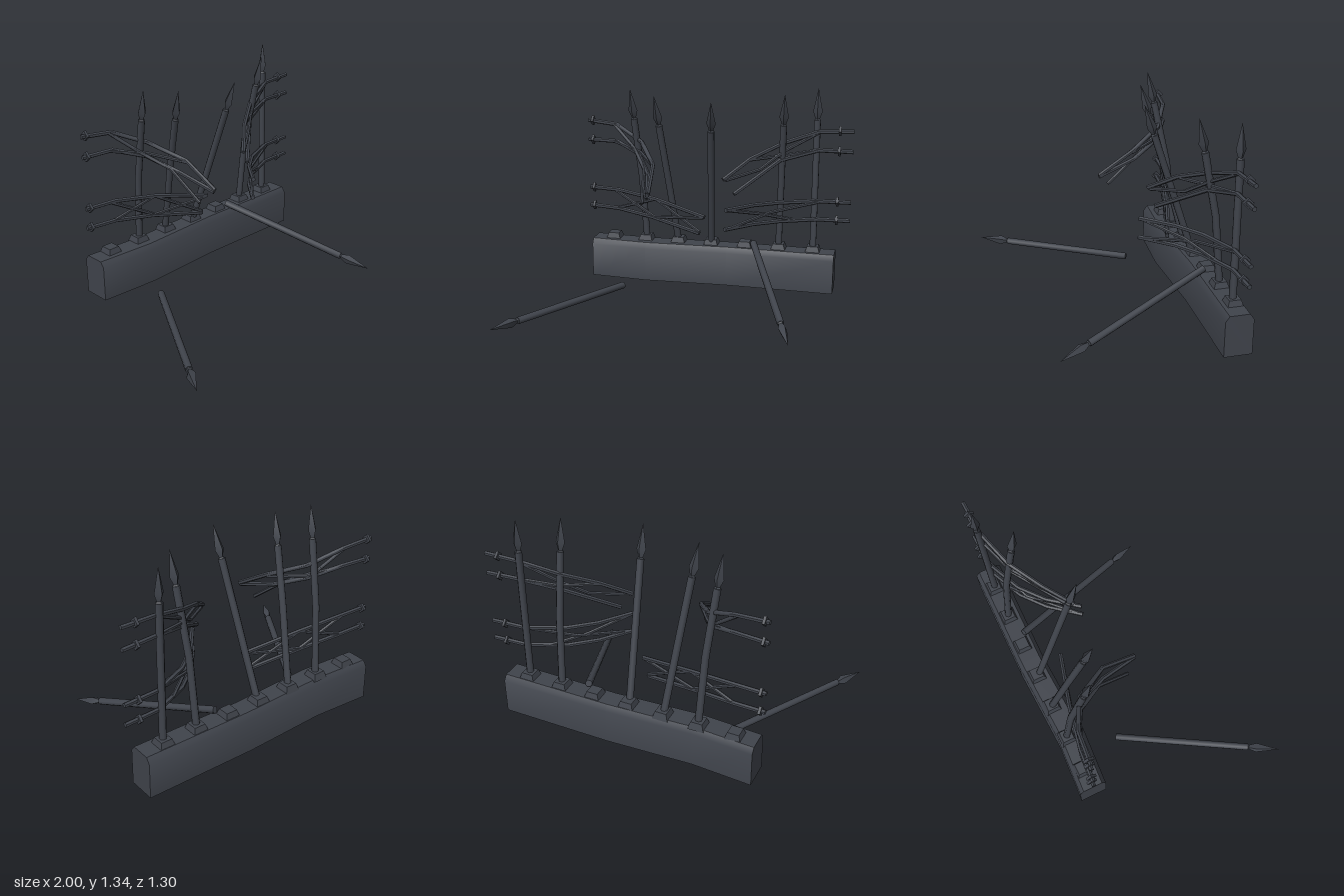
import * as THREE from 'three';
import { toCreasedNormals } from 'three/addons/utils/BufferGeometryUtils.js';

const V = (a) => new THREE.Vector3(...a);
const RAIL_Z = -0.57;

// Closed skin over a list of rings that all have the same point count
function loft(rings, crease) {
  const n = rings[0].length, pos = [], idx = [];
  rings.forEach((r) => r.forEach((p) => pos.push(p.x, p.y, p.z)));
  for (let i = 0; i < rings.length - 1; i++) {
    for (let j = 0; j < n; j++) {
      const a = i * n + j, b = i * n + (j + 1) % n;
      idx.push(a, b, a + n, b, b + n, a + n);
    }
  }
  const last = (rings.length - 1) * n;
  for (let j = 1; j < n - 1; j++) {
    idx.push(0, j + 1, j, last, last + j, last + j + 1);
  }
  const g = new THREE.BufferGeometry();
  g.setAttribute('position', new THREE.Float32BufferAttribute(pos, 3));
  g.setIndex(idx);
  return toCreasedNormals(g, crease);
}

// Bar of constant thickness along a bent path
function bar(points, radius, sides) {
  const p = points.map(V);
  const first = p[1].clone().sub(p[0]).normalize();
  const ref = Math.abs(first.y) > 0.8 ? V([0, 0, 1]) : V([0, 1, 0]);
  const rings = p.map((c, i) => {
    const t = p[Math.min(i + 1, p.length - 1)].clone().sub(p[Math.max(i - 1, 0)]).normalize();
    const u = ref.clone().cross(t).normalize();
    const v = t.clone().cross(u);
    return Array.from({ length: sides }, (_, k) => {
      const a = (k + 0.5) / sides * Math.PI * 2;
      return c.clone().addScaledVector(u, radius * Math.cos(a)).addScaledVector(v, radius * Math.sin(a));
    });
  });
  return loft(rings, 0.9);
}

export function createModel() {
  const model = new THREE.Group();
  const iron = new THREE.MeshStandardMaterial({ color: 0x40444c });
  iron.name = 'darkIron';

  const add = (geometry, name, parent = model) => {
    const m = new THREE.Mesh(geometry, iron);
    m.name = name;
    parent.add(m);
    return m;
  };

  // Low wall, slightly bent along its length: x, front z, back z
  const wall = [
    [-0.73, -0.48, -0.655], [-0.35, -0.457, -0.632],
    [0.2, -0.485, -0.655], [0.91, -0.478, -0.65],
  ].map(([x, f, b]) => [
    [b, 0.01], [b, 0.235], [b + 0.025, 0.27], [f - 0.025, 0.27], [f, 0.235], [f, 0.01],
  ].map(([z, y]) => V([x, y, z])));
  add(loft(wall, 0.9), 'wall');

  // Tapered sockets on top of the wall
  const socket = new THREE.CylinderGeometry(0.036 * Math.SQRT2, 0.05 * Math.SQRT2, 0.045, 4);
  socket.rotateY(Math.PI / 4);
  const socketGeometry = toCreasedNormals(socket, 0.5);
  for (let i = 0; i < 7; i++) {
    add(socketGeometry, 'socket').position.set(-0.595 + i * 0.2267, 0.283, -0.575);
  }

  // Spear head: collar, neck, four-sided blade
  const headGeometry = toCreasedNormals(new THREE.LatheGeometry(
    [[0.0215, 0], [0.014, 0.008], [0.03, 0.055], [0, 0.205]].map(([x, y]) => new THREE.Vector2(x, y)), 4), 0.5);

  // Spear along a path whose last point is the tip
  function spear(path, name) {
    const g = new THREE.Group();
    g.name = name;
    const tip = V(path[path.length - 1]);
    const dir = tip.clone().sub(V(path[path.length - 2])).normalize();
    const neck = tip.clone().addScaledVector(dir, -0.205);
    add(bar([...path.slice(0, -1), neck.toArray()], 0.022, 8), 'shaft', g);
    const head = add(headGeometry, 'spearHead', g);
    head.position.copy(neck);
    head.quaternion.setFromUnitVectors(V([0, 1, 0]), dir);
    model.add(g);
  }
  spear([[-0.366, 0.28, -0.575], [-0.385, 0.72, -0.53], [-0.425, 1.325, -0.40]], 'bentPost');
  spear([[-0.145, 0.28, -0.575], [-0.19, 0.75, -0.455], [-0.24, 1.3, -0.30]], 'leaningPost');
  spear([[0.085, 0.28, -0.56], [0.145, 1.29, -0.215]], 'leaningPost');
  spear([[0.538, 0.28, -0.575], [0.55, 0.72, -0.53], [0.575, 1.325, -0.40]], 'bentPost');
  spear([[0.765, 0.28, -0.572], [0.765, 1.348, -0.572]], 'uprightPost');
  spear([[-0.452, 0.03, -0.275], [-1.0, 0.03, 0.645]], 'fallenPost');
  spear([[0.375, 0.305, -0.535], [0.74, 0.015, 0.43]], 'fallenPost');

  // Bent rails, each starting at its outer end
  const rails = [
    [[1.0, 1.078, RAIL_Z], [0.78, 1.07, -0.56], [0.56, 1.0, -0.485], [0.37, 0.915, -0.355], [0.225, 0.805, -0.22]],
    [[1.0, 0.947, RAIL_Z], [0.78, 0.95, -0.56], [0.545, 0.89, -0.475], [0.29, 0.71, -0.25]],
    [[1.0, 0.613, RAIL_Z], [0.78, 0.613, -0.56], [0.55, 0.615, -0.46], [0.4, 0.62, -0.34], [0.255, 0.625, -0.16]],
    [[1.0, 0.49, RAIL_Z], [0.78, 0.49, -0.56], [0.55, 0.49, -0.46], [0.4, 0.495, -0.34], [0.25, 0.5, -0.16]],
    [[-0.765, 1.078, RAIL_Z], [-0.56, 1.06, -0.55], [-0.365, 0.97, -0.455], [-0.235, 0.87, -0.25], [-0.21, 0.735, -0.03]],
    [[-0.765, 0.947, RAIL_Z], [-0.56, 0.947, -0.55], [-0.38, 0.885, -0.455], [-0.275, 0.8, -0.27], [-0.215, 0.725, -0.03]],
    [[-0.765, 0.615, RAIL_Z], [-0.56, 0.61, -0.555], [-0.285, 0.575, -0.5], [0.07, 0.5, -0.4]],
    [[-0.765, 0.488, RAIL_Z], [-0.56, 0.48, -0.555], [-0.31, 0.45, -0.5], [0.035, 0.385, -0.41]],
  ];

  // Diamond collars near the outer ends of the rails
  const collar = new THREE.CylinderGeometry(0.032, 0.032, 0.016, 4);
  collar.rotateZ(Math.PI / 2);
  const collarGeometry = toCreasedNormals(collar, 0.5);
  for (const r of rails) {
    add(bar(r, 0.0145, 6), 'rail');
    add(collarGeometry, 'railCollar').position.set(r[0][0] > 0 ? 0.912 : -0.735, r[0][1], RAIL_Z);
  }

  // Thin crossed braces between the rails
  const braces = [
    [[0.78, 1.065, -0.56], [0.57, 0.95, -0.485], [0.43, 0.845, -0.38], [0.24, 0.8, -0.23]],
    [[0.78, 0.95, -0.56], [0.56, 0.92, -0.485], [0.36, 0.91, -0.35]],
    [[0.8, 0.61, -0.56], [0.5, 0.555, -0.43], [0.27, 0.5, -0.18]],
    [[0.65, 0.49, -0.51], [0.45, 0.555, -0.38], [0.27, 0.62, -0.18]],
    [[-0.58, 1.06, -0.55], [-0.42, 0.92, -0.475], [-0.31, 0.82, -0.31], [-0.27, 0.65, -0.1]],
    [[-0.58, 0.945, -0.55], [-0.37, 0.9, -0.455], [-0.235, 0.86, -0.25]],
    [[-0.58, 0.605, -0.555], [-0.3, 0.455, -0.5]],
    [[-0.56, 0.485, -0.555], [-0.285, 0.575, -0.5], [0.035, 0.395, -0.41]],
    [[-0.31, 0.45, -0.5], [0.06, 0.495, -0.4]],
  ];
  for (const b of braces) add(bar(b, 0.0115, 6), 'brace');

  return model;
}
